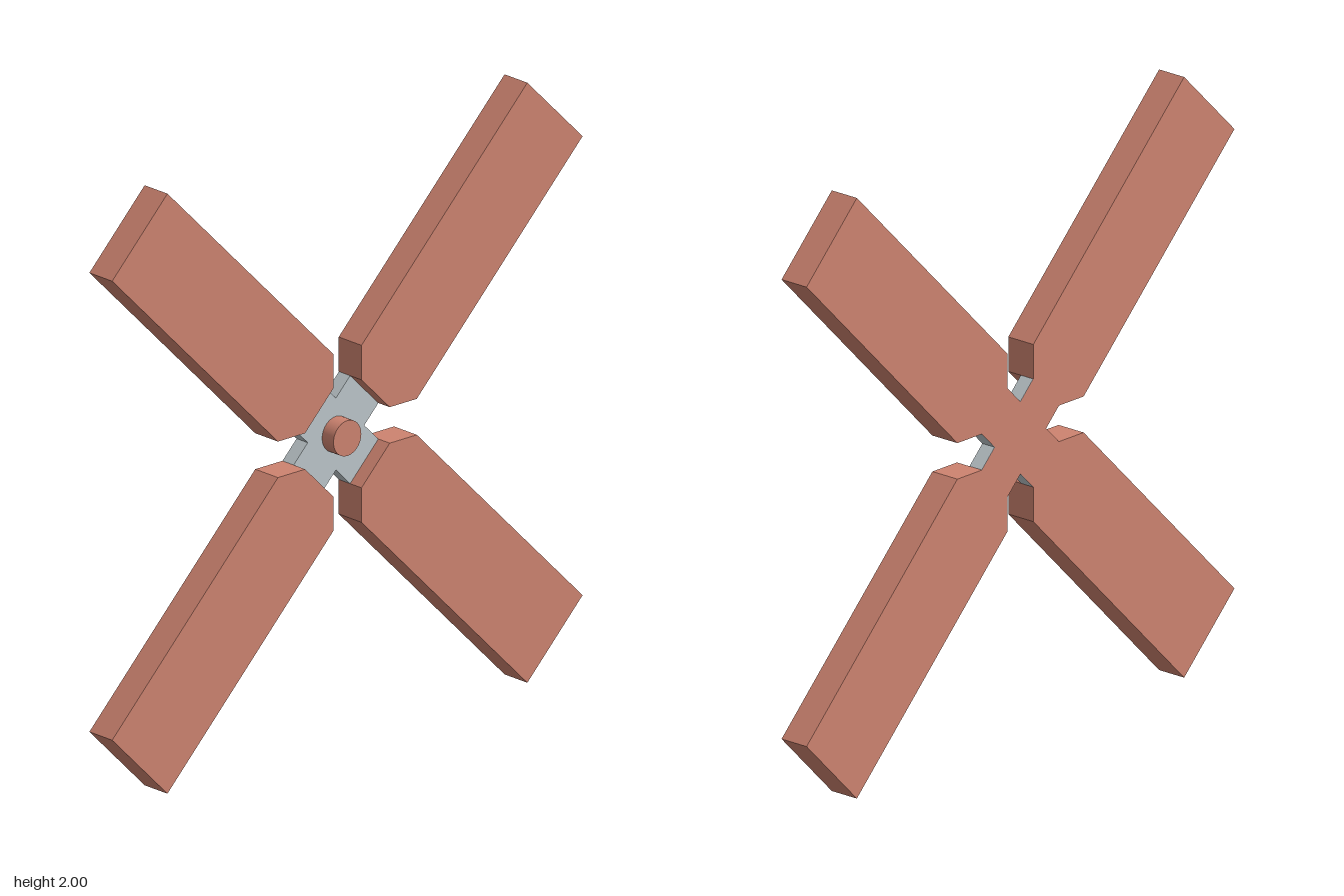
import * as THREE from 'three';

const HALF = 0.053; // half thickness of the blades
const CENTER_Y = 1;

function shapeFrom(points) {
  return new THREE.Shape(points.map(([x, y]) => new THREE.Vector2(x, y)));
}

export function createModel() {
  const model = new THREE.Group();
  const rotor = new THREE.Group();
  rotor.name = 'rotor';
  rotor.position.y = CENTER_Y;
  model.add(rotor);

  const clay = new THREE.MeshStandardMaterial({ color: 0xcd8370 });
  const steel = new THREE.MeshStandardMaterial({ color: 0xbcc6ca });

  const add = (name, geometry, material) => {
    const mesh = new THREE.Mesh(geometry, material);
    mesh.name = name;
    rotor.add(mesh);
    return mesh;
  };

  // Four diagonal blades, each tapering to a neck at the hub
  const bladeGeometry = new THREE.ExtrudeGeometry(
    shapeFrom([[0.18, 0.06], [0.295, 0.06], [1, 0.765], [0.765, 1], [0.06, 0.295], [0.06, 0.18]]),
    { depth: 2 * HALF, bevelEnabled: false }
  );
  bladeGeometry.translate(0, 0, -HALF);
  for (let i = 0; i < 4; i++) {
    add('blade' + (i + 1), bladeGeometry, clay).rotation.z = (i * Math.PI) / 2;
  }

  // Notched hub, recessed to half thickness at the front
  const hubPoints = [];
  for (let i = 0; i < 4; i++) {
    const a = (i * Math.PI) / 2, c = Math.cos(a), s = Math.sin(a);
    for (const [x, y] of [[0.12, 0], [0.18, 0.06], [0.06, 0.18]]) {
      hubPoints.push([x * c - y * s, x * s + y * c]);
    }
  }
  const hubShape = shapeFrom(hubPoints);
  const hubGeometry = new THREE.ExtrudeGeometry(hubShape, { depth: HALF - 0.001, bevelEnabled: false });
  hubGeometry.translate(0, 0, -HALF + 0.001);
  add('hub', hubGeometry, steel);

  // Back cover of the hub, flush with the blades
  const cover = add('hubBackCover', new THREE.ShapeGeometry(hubShape), clay);
  cover.rotation.y = Math.PI;
  cover.position.z = -HALF;

  // Round axle pin
  const pinGeometry = new THREE.CylinderGeometry(0.059, 0.059, HALF, 40);
  pinGeometry.rotateX(Math.PI / 2).translate(0, 0, HALF / 2);
  add('axlePin', pinGeometry, clay);

  return model;
}
